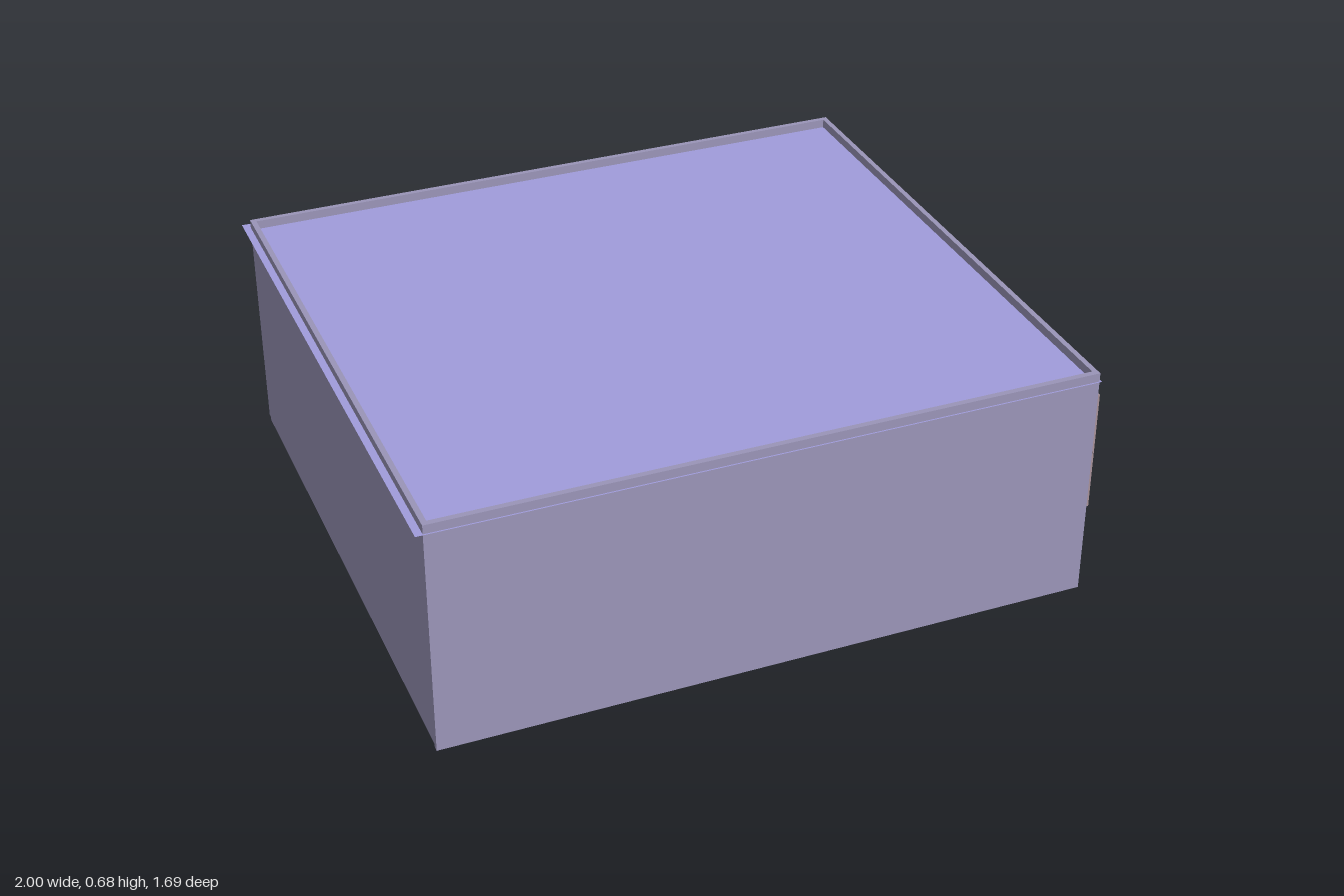
import * as THREE from 'three';

const paint = (color) => new THREE.MeshStandardMaterial({ color, side: THREE.DoubleSide });

export function createModel() {
  const model = new THREE.Group();
  const wallMat = paint(0x9a95b8);
  const slabMat = paint(0xa09cdc);
  const woodMat = paint(0xa8929a);
  const carpetMat = paint(0xa05a78);
  const metalMat = paint(0x55555f);
  const seatMat = paint(0xc06a40);

  // Box given by its lower and upper limits on each axis
  function block(name, mat, [x0, x1], [y0, y1], [z0, z1], parent = model) {
    const mesh = new THREE.Mesh(new THREE.BoxGeometry(x1 - x0, y1 - y0, z1 - z0), mat);
    mesh.position.set((x0 + x1) / 2, (y0 + y1) / 2, (z0 + z1) / 2);
    mesh.name = name;
    parent.add(mesh);
    return mesh;
  }

  // Thin horizontal sheet
  function sheet(name, mat, [x0, x1], y, [z0, z1]) {
    const mesh = new THREE.Mesh(new THREE.PlaneGeometry(x1 - x0, z1 - z0).rotateX(-Math.PI / 2), mat);
    mesh.position.set((x0 + x1) / 2, y, (z0 + z1) / 2);
    mesh.name = name;
    model.add(mesh);
  }

  const top = 0.68, floorY = 0.088;

  // Outer walls, standing above the roof as a low parapet
  block('frontWall', wallMat, [-0.98, 0.845], [0, top], [0.822, 0.838]);
  block('backWall', wallMat, [-0.98, 0.845], [0.02, top], [-0.825, -0.81]);
  block('rightWall', wallMat, [-0.98, -0.965], [0.01, top], [-0.81, 0.822]);

  // Wall with the doorway, drawn as (-z, y) and extruded along x
  const side = new THREE.Shape([
    [-0.822, 0.01], [0.64, 0.01], [0.64, 0.02], [0.81, 0.02], [0.81, top], [-0.822, top],
  ].map(([u, y]) => new THREE.Vector2(u, y)));
  side.holes.push(new THREE.Path([
    [-0.765, floorY], [-0.765, 0.465], [-0.567, 0.465], [-0.567, floorY],
  ].map(([u, y]) => new THREE.Vector2(u, y))));
  const sideGeo = new THREE.ExtrudeGeometry(side, { depth: 0.015, bevelEnabled: false });
  const leftWall = new THREE.Mesh(sideGeo.rotateY(Math.PI / 2), wallMat);
  leftWall.position.x = 0.83;
  leftWall.name = 'leftWall';
  model.add(leftWall);

  // Roof sheet reaches a little past the walls
  sheet('roof', slabMat, [-1, 0.85], 0.655, [-0.85, 0.842]);
  sheet('floor', slabMat, [-0.97, 0.835], floorY, [-0.815, 0.826]);

  // T-shaped carpet path
  const carpetY = [floorY - 0.003, floorY + 0.003];
  block('carpetAcross', carpetMat, [-0.83, 0.64], carpetY, [0.62, 0.79]);
  block('carpetAisle', carpetMat, [-0.19, -0.03], carpetY, [-0.62, 0.62]);

  // Door frame
  const frame = new THREE.Group();
  frame.name = 'doorFrame';
  model.add(frame);
  block('frontJamb', woodMat, [0.822, 0.851], [floorY, 0.47], [0.755, 0.77], frame);
  block('backJamb', woodMat, [0.822, 0.851], [floorY, 0.47], [0.562, 0.58], frame);
  block('frameHead', woodMat, [0.822, 0.851], [0.453, 0.47], [0.562, 0.77], frame);

  // Open door, hinged on the rear jamb
  const door = new THREE.Group();
  door.name = 'door';
  door.position.set(0.85, 0, 0.582);
  door.rotation.y = -0.2;
  model.add(door);
  block('doorLeaf', woodMat, [0, 0.152], [floorY, 0.452], [-0.004, 0.004], door);
  for (const s of [-1, 1]) {
    const stem = new THREE.Mesh(new THREE.CylinderGeometry(0.003, 0.003, 0.014, 8), metalMat);
    stem.rotation.x = Math.PI / 2;
    stem.position.set(0.138, 0.275, s * 0.01);
    stem.name = 'handleStem';
    door.add(stem);
    const z = s * 0.016;
    block('handleLever', metalMat, [0.11, 0.142], [0.272, 0.278], [z - 0.002, z + 0.002], door);
  }

  // Rows of tables on both sides of the aisle
  function table(cx, cz) {
    const g = new THREE.Group();
    g.name = 'table';
    g.position.set(cx, floorY, cz);
    block('tableTop', seatMat, [-0.11, 0.11], [0.12, 0.13], [-0.055, 0.055], g);
    for (const sx of [-0.1, 0.1]) for (const sz of [-0.045, 0.045]) {
      block('tableLeg', metalMat, [sx - 0.004, sx + 0.004], [0, 0.12], [sz - 0.004, sz + 0.004], g);
    }
    model.add(g);
  }
  for (const x of [-0.72, -0.4, 0.2, 0.52]) {
    for (const z of [-0.52, -0.24, 0.04, 0.32]) table(x, z);
  }

  return model;
}
